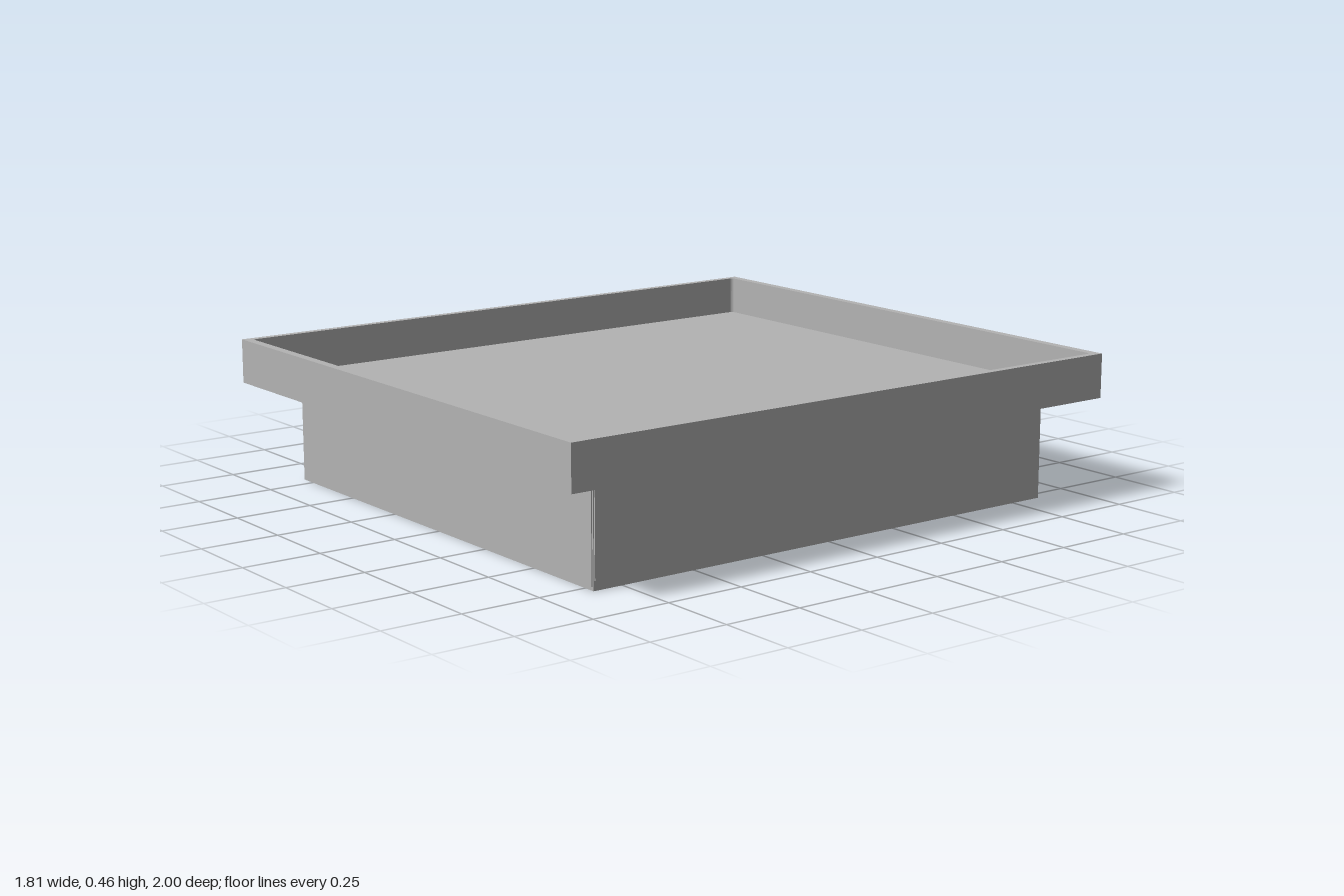
import * as THREE from 'three';

export function createModel() {
  const model = new THREE.Group();
  const grey = new THREE.MeshStandardMaterial({ color: 0xb3b3b3 });
  grey.name = 'plain grey';

  const add = (name, geometry) => {
    const mesh = new THREE.Mesh(geometry, grey);
    mesh.name = name;
    model.add(mesh);
    return mesh;
  };

  // Box given by its minimum and maximum corners
  const block = (name, [x0, y0, z0], [x1, y1, z1]) =>
    add(name, new THREE.BoxGeometry(x1 - x0, y1 - y0, z1 - z0))
      .position.set((x0 + x1) / 2, (y0 + y1) / 2, (z0 + z1) / 2);

  // Plinth
  block('base', [-0.802, 0, -0.858], [0.79, 0.32, 0.848]);

  // Tray floor, set inside the rim
  block('trayFloor', [-0.89, 0.32, -0.98], [0.89, 0.337, 0.98]);

  // Tray rim: rectangle with a slightly rounded rectangular opening
  const rim = new THREE.Shape([[-0.905, -1], [0.905, -1], [0.905, 1], [-0.905, 1]]
    .map(([x, y]) => new THREE.Vector2(x, y)));
  const w = 0.882, d = 0.972, r = 0.012;
  const opening = new THREE.Path();
  opening.moveTo(-w + r, -d);
  opening.absarc(-w + r, -d + r, r, 1.5 * Math.PI, Math.PI, true);
  opening.absarc(-w + r, d - r, r, Math.PI, 0.5 * Math.PI, true);
  opening.absarc(w - r, d - r, r, 0.5 * Math.PI, 0, true);
  opening.absarc(w - r, -d + r, r, 0, -0.5 * Math.PI, true);
  opening.closePath();
  rim.holes.push(opening);
  const rimGeometry = new THREE.ExtrudeGeometry(rim, { depth: 0.14, bevelEnabled: false, curveSegments: 4 });
  rimGeometry.rotateX(-Math.PI / 2);
  add('trayRim', rimGeometry).position.y = 0.32;

  // Shallow panels on the front and the sides
  block('frontPanel', [-0.56, 0.012, 0.845], [0.785, 0.31, 0.851]);
  block('leftPanel', [0.785, 0.03, 0.125], [0.794, 0.305, 0.845]);
  block('rightPanel', [-0.805, 0.012, -0.85], [-0.8, 0.31, -0.125]);

  // Narrow upright strip on the back
  block('backStrip', [0.043, 0.02, -0.868], [0.053, 0.307, -0.855]);

  return model;
}
